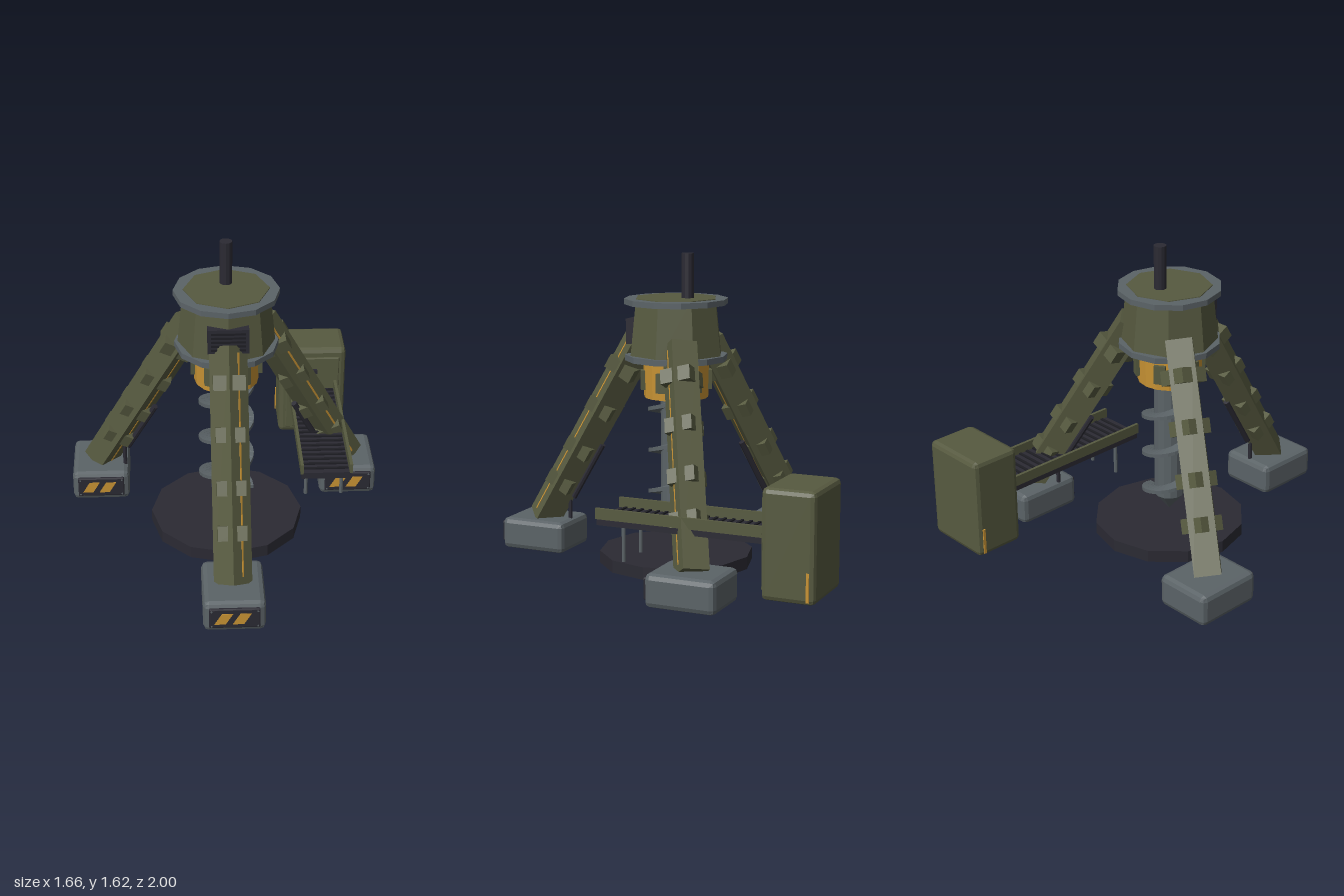
import * as THREE from 'three';
import { RoundedBoxGeometry } from 'three/addons/geometries/RoundedBoxGeometry.js';

const mat = (name, color) => new THREE.MeshStandardMaterial({ name, color, flatShading: true });

export function createModel() {
  const olive = mat('olive paint', 0x575a40);
  const steel = mat('grey steel', 0x5b6367);
  const dark = mat('dark metal', 0x2b2a33);
  const black = mat('black rubber', 0x1e1e24);
  const amber = mat('amber paint', 0xc89334);
  const CZ = 0.02; // drill axis
  const model = new THREE.Group();
  model.name = 'drillingRig';

  const add = (parent, name, geo, m, x = 0, y = 0, z = 0) => {
    const mesh = new THREE.Mesh(geo, m);
    mesh.name = name;
    mesh.position.set(x, y, z);
    parent.add(mesh);
    return mesh;
  };
  const box = (parent, name, m, w, h, d, x, y, z) => add(parent, name, new THREE.BoxGeometry(w, h, d), m, x, y, z);
  const chamfer = (parent, name, m, w, h, d, r, x, y, z) =>
    add(parent, name, new RoundedBoxGeometry(w, h, d, 1, r), m, x, y, z);
  const cyl = (parent, name, m, rTop, rBot, y0, y1, n, x = 0, z = CZ) =>
    add(parent, name, new THREE.CylinderGeometry(rTop, rBot, y1 - y0, n), m, x, (y0 + y1) / 2, z);
  // Cylinder between two points
  const rod = (parent, name, m, r, a, b, n = 8) => {
    const dir = b.clone().sub(a);
    const mesh = add(parent, name, new THREE.CylinderGeometry(r, r, dir.length(), n), m);
    mesh.position.copy(a).add(b).multiplyScalar(0.5);
    mesh.quaternion.setFromUnitVectors(new THREE.Vector3(0, 1, 0), dir.normalize());
    return mesh;
  };

  // Ground plate
  cyl(model, 'groundPlate', dark, 0.4, 0.4, 0, 0.065, 12);

  // Head housing, rims, mast and motor
  const head = new THREE.Group();
  head.name = 'head';
  model.add(head);
  cyl(head, 'housing', olive, 0.217, 0.25, 1.07, 1.388, 8);
  cyl(head, 'upperRim', steel, 0.267, 0.267, 1.355, 1.384, 12);
  cyl(head, 'lowerRim', steel, 0.264, 0.264, 1.067, 1.097, 12);
  cyl(head, 'mast', dark, 0.032, 0.032, 1.38, 1.615, 12, 0, -0.045);
  cyl(head, 'motor', amber, 0.17, 0.165, 0.875, 1.07, 16);
  for (let i = 0; i < 6; i++) {
    const a = (i * Math.PI) / 3;
    const rib = box(head, 'motorRib', olive, 0.03, 0.1, 0.06, Math.cos(a) * 0.168, 0.965, CZ - Math.sin(a) * 0.168);
    rib.rotation.y = a;
  }
  box(head, 'vent', dark, 0.205, 0.13, 0.07, 0, 1.212, 0.222);
  for (let i = 0; i < 5; i++) box(head, 'ventSlat', black, 0.17, 0.011, 0.006, 0, 1.167 + i * 0.022, 0.258);

  // Drill: shaft, tip and screw flight
  const drill = new THREE.Group();
  drill.name = 'drill';
  model.add(drill);
  cyl(drill, 'shaft', steel, 0.08, 0.08, 0.2, 0.9, 14);
  cyl(drill, 'tip', steel, 0.08, 0.004, 0.105, 0.2, 14);
  add(drill, 'screwFlight', flightGeometry(0.07, 0.145, 0.02, 0.2, 0.89, 0.216), steel, 0, 0, CZ);

  // Three legs with feet
  for (const deg of [90, -30, 210]) {
    const a = (deg * Math.PI) / 180;
    const at = (r, y) => new THREE.Vector3(Math.cos(a) * r, y, CZ + Math.sin(a) * r);
    const leg = new THREE.Group();
    leg.name = 'leg';
    model.add(leg);

    // Diamond-section beam; square collars poke out through its faces
    const beam = rod(leg, 'legBeam', olive, 0.095, at(0.786, 0.158), at(0.195, 1.168), 4);
    const strip = box(beam, 'legStripe', amber, 0.011, 1.1, 0.006, 0.0465, 0, 0.0465);
    strip.rotation.y = Math.PI / 4;
    for (const [y, size] of [[1.01, 0.16], [0.79, 0.145], [0.565, 0.145], [0.375, 0.145]]) {
      box(beam, 'legCollar', olive, size, 0.075, size, 0, (y - 0.663) * 1.16, 0);
    }

    // Strut on the inner edge and its short post
    rod(leg, 'innerStrut', dark, 0.016, at(0.428, 0.585), at(0.604, 0.285));
    rod(leg, 'strutPost', dark, 0.011, at(0.627, 0.15), at(0.627, 0.28));

    // Foot with warning panel
    const foot = new THREE.Group();
    foot.name = 'foot';
    foot.position.copy(at(0.78, 0));
    leg.add(foot);
    chamfer(foot, 'footBlock', steel, 0.307, 0.168, 0.366, 0.028, 0, 0.084, 0);
    chamfer(foot, 'warningPanel', dark, 0.25, 0.112, 0.024, 0.006, 0, 0.088, 0.184);
    for (const x of [-0.1, -0.01]) {
      const s = new THREE.Shape();
      s.moveTo(x, 0.056);
      s.lineTo(x + 0.055, 0.056);
      s.lineTo(x + 0.092, 0.119);
      s.lineTo(x + 0.037, 0.119);
      add(foot, 'warningStripe', new THREE.ExtrudeGeometry(s, { depth: 0.003, bevelEnabled: false }), amber, 0, 0, 0.195);
    }
    for (const x of [-0.113, 0.113]) for (const y of [0.044, 0.132]) {
      const bolt = add(foot, 'panelBolt', new THREE.CylinderGeometry(0.005, 0.005, 0.006, 6), steel, x, y, 0.196);
      bolt.rotation.x = Math.PI / 2;
    }
  }

  // Conveyor
  const conveyor = new THREE.Group();
  conveyor.name = 'conveyor';
  conveyor.position.x = 0.52;
  model.add(conveyor);
  box(conveyor, 'belt', dark, 0.262, 0.035, 0.88, 0, 0.346, -0.29);
  for (let z = -0.7; z < 0.13; z += 0.045) box(conveyor, 'beltSlat', black, 0.235, 0.01, 0.014, 0, 0.366, z);
  for (const s of [-1, 1]) {
    box(conveyor, 'sideWall', olive, 0.016, 0.055, 0.89, s * 0.129, 0.387, -0.291);
    cyl(conveyor, 'supportPost', steel, 0.01, 0.01, 0.15, 0.335, 8, s * 0.095, 0.02);
  }

  // Collection cabinet
  const cabinet = new THREE.Group();
  cabinet.name = 'cabinet';
  cabinet.position.set(0.521, 0, 0);
  model.add(cabinet);
  chamfer(cabinet, 'cabinetBody', olive, 0.374, 0.538, 0.268, 0.025, 0, 0.342, -0.866);
  chamfer(cabinet, 'cabinetDoor', olive, 0.3, 0.45, 0.02, 0.006, 0, 0.335, -0.732);
  box(cabinet, 'handle', dark, 0.11, 0.022, 0.022, -0.03, 0.48, -0.715);
  box(cabinet, 'grille', dark, 0.15, 0.14, 0.014, -0.03, 0.22, -0.716);
  for (let i = 0; i < 6; i++) box(cabinet, 'grilleBar', black, 0.13, 0.01, 0.016, -0.03, 0.165 + i * 0.022, -0.706);
  for (const s of [-1, 1]) box(cabinet, 'markerStrip', amber, 0.008, 0.14, 0.014, s * 0.189, 0.16, -0.967);

  return model;
}

// Helical blade with a rectangular section
function flightGeometry(r0, r1, thick, y0, y1, pitch) {
  const steps = Math.round(((y1 - y0) / pitch) * 24);
  const pos = [], idx = [];
  for (let i = 0; i <= steps; i++) {
    const y = y0 + ((y1 - y0) * i) / steps;
    const a = ((y - y0) / pitch) * Math.PI * 2;
    for (const [r, h] of [[r0, -1], [r1, -1], [r1, 1], [r0, 1]]) {
      pos.push(Math.cos(a) * r, y + (h * thick) / 2, -Math.sin(a) * r);
    }
  }
  for (let i = 0; i < steps; i++) for (let k = 0; k < 4; k++) {
    const a = i * 4 + k, b = i * 4 + ((k + 1) % 4);
    idx.push(a, b + 4, b, a, a + 4, b + 4);
  }
  const e = steps * 4;
  idx.push(0, 1, 2, 0, 2, 3, e, e + 2, e + 1, e, e + 3, e + 2);
  const geo = new THREE.BufferGeometry();
  geo.setAttribute('position', new THREE.Float32BufferAttribute(pos, 3));
  geo.setIndex(idx);
  geo.computeVertexNormals();
  return geo;
}
